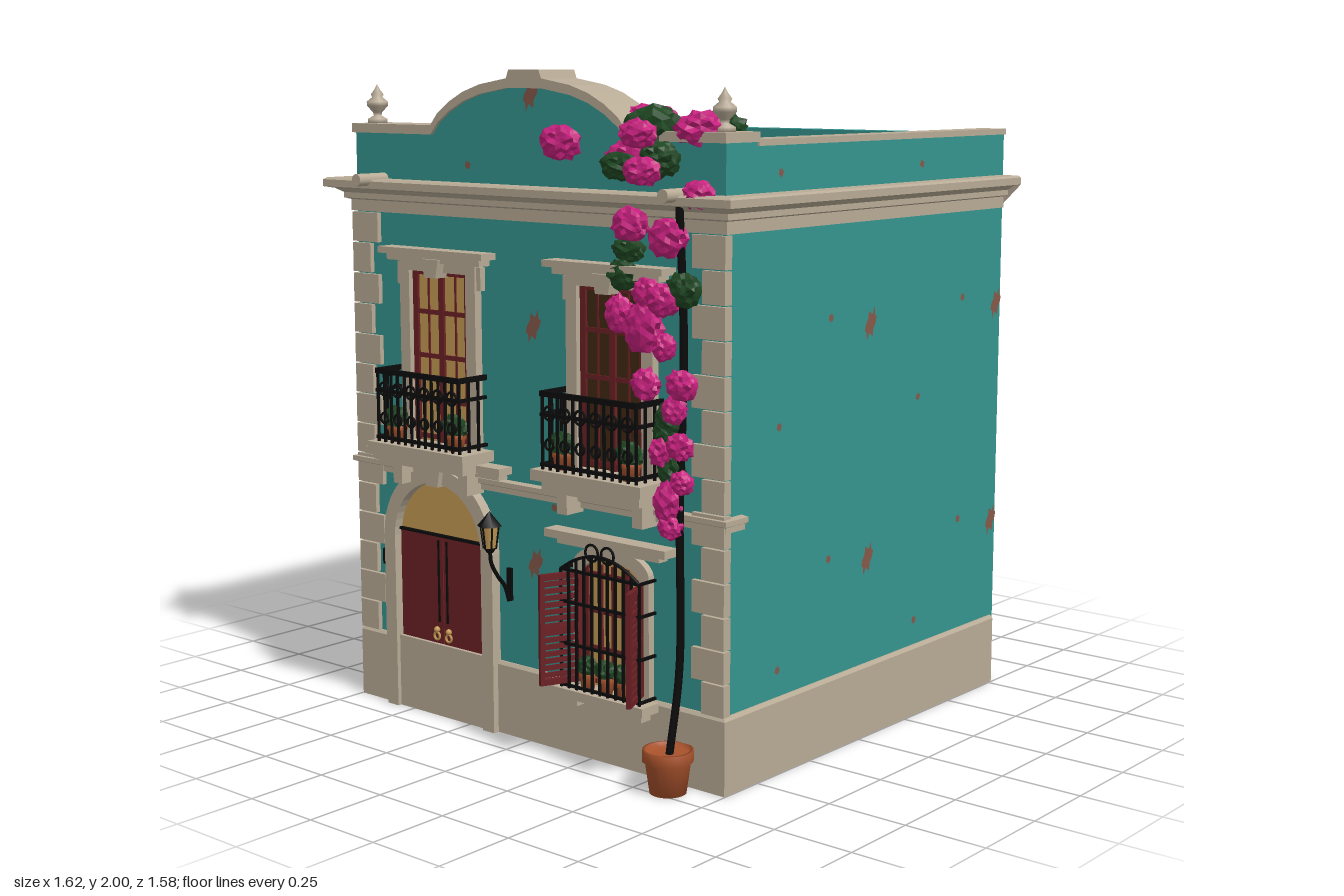
import * as THREE from 'three';

const mat = (name, color, o = {}) => Object.assign(new THREE.MeshStandardMaterial({ color, ...o }), { name });

export function createModel() {
  const root = new THREE.Group();
  root.name = 'townHouse';
  const D = { side: THREE.DoubleSide }, F = { flatShading: true };
  const teal = mat('tealPlaster', 0x35958f), stone = mat('stone', 0xb8ab96), red = mat('maroonWood', 0x6b2024),
    amber = mat('amberGlass', 0xc49a54, D), dark = mat('darkGlass', 0x3f2812), iron = mat('blackIron', 0x0b0b0c),
    clay = mat('terracotta', 0xa8522c, D), pink = mat('magentaBlossom', 0xc8217f, F),
    leaf = mat('darkLeaf', 0x1f4722, F), worn = mat('exposedBrick', 0x86584a, D);
  const ZF = 0.635, ZB = -0.785, HX = 0.735;

  // Helpers
  const add = (name, geo, m, parent = root, x = 0, y = 0, z = 0) => {
    const o = new THREE.Mesh(geo, m);
    o.name = name;
    o.position.set(x, y, z);
    parent.add(o);
    return o;
  };
  const box = (name, m, x0, x1, y0, y1, z0, z1, parent = root) =>
    add(name, new THREE.BoxGeometry(x1 - x0, y1 - y0, z1 - z0), m, parent, (x0 + x1) / 2, (y0 + y1) / 2, (z0 + z1) / 2);
  const group = (name, x = 0, y = 0, z = 0) => {
    const g = new THREE.Group();
    g.name = name;
    g.position.set(x, y, z);
    root.add(g);
    return g;
  };
  const v = (x, y, z) => new THREE.Vector3(x, y, z);
  const tube = (name, pts, r, m, parent, n = 24) =>
    add(name, new THREE.TubeGeometry(new THREE.CatmullRomCurve3(pts.map(p => v(...p))), n, r, 6), m, parent);
  const ring = (parent, r, x, y, z) => add('ironRing', new THREE.TorusGeometry(r, 0.004, 6, 18), iron, parent, x, y, z);
  const lathe = (name, pts, m, parent, x, y, z) =>
    add(name, new THREE.LatheGeometry(pts.map(p => new THREE.Vector2(...p)), 18), m, parent, x, y, z);
  const extrude = (name, shape, m, z0, z1, parent = root, x = 0) =>
    add(name, new THREE.ExtrudeGeometry(shape, { depth: z1 - z0, bevelEnabled: false, curveSegments: 24 }), m, parent, x, 0, z0);
  const archPoints = (hw, y0, spring, ry) => {
    const p = [[-hw, y0]];
    for (let i = 0; i <= 24; i++) {
      const a = Math.PI * (1 - i / 24);
      p.push([hw * Math.cos(a), spring + ry * Math.sin(a)]);
    }
    return [...p, [hw, y0]];
  };
  const poly = p => new THREE.Shape(p.map(q => new THREE.Vector2(...q)));

  // Moulding swept round the sides and front; profile is [projection, y]
  const moulding = (name, profile, m, zBack) => {
    const pos = [], P = (k, [d, y]) => [(k < 2 ? 1 : -1) * (HX + d), y, k === 0 || k === 3 ? zBack : ZF + d];
    for (let j = 0; j < profile.length - 1; j++) {
      for (let k = 0; k < 3; k++) {
        const a = P(k, profile[j]), b = P(k, profile[j + 1]), c = P(k + 1, profile[j + 1]), d = P(k + 1, profile[j]);
        pos.push(...a, ...b, ...c, ...a, ...c, ...d);
      }
      pos.push(...P(0, profile[0]), ...P(0, profile[j + 1]), ...P(0, profile[j]));
      pos.push(...P(3, profile[0]), ...P(3, profile[j]), ...P(3, profile[j + 1]));
    }
    const g = new THREE.BufferGeometry();
    g.setAttribute('position', new THREE.Float32BufferAttribute(pos, 3));
    g.computeVertexNormals();
    return add(name, g, m);
  };

  // Body, roof deck and parapets
  box('walls', teal, -HX, HX, 0, 1.62, ZB, ZF);
  box('roofDeck', stone, -0.65, 0.65, 1.62, 1.626, -0.715, 0.47);
  box('backParapet', teal, -HX, HX, 1.62, 1.8, ZB, -0.715);
  for (const s of [-1, 1]) {
    box('sideParapet', teal, s < 0 ? -HX : 0.65, s < 0 ? -0.65 : HX, 1.62, 1.796, -0.715, 0.47);
    box('sideCoping', stone, s < 0 ? -0.742 : 0.65, s < 0 ? -0.65 : 0.742, 1.796, 1.814, ZB, 0.5);
  }
  const crest = [[-0.742, 1.835], [-0.39, 1.835], [-0.36, 1.87], [-0.31, 1.905], [-0.25, 1.935], [-0.18, 1.957], [-0.07, 1.975], [-0.06, 2]];
  const top = [...crest, ...crest.map(([x, y]) => [-x, y]).reverse()];
  const under = top.map(([x, y]) => [x, Math.min(y, 1.975) - 0.028]);
  extrude('frontParapet', poly([[-HX, 1.62], ...under.map(([x, y]) => [THREE.MathUtils.clamp(x, -HX, HX), y]), [HX, 1.62]]), teal, 0.47, ZF);
  extrude('frontCoping', poly([...top, ...[...under].reverse()]), stone, 0.496, 0.646);

  // Plinth, string course and main cornice
  moulding('plinth', [[0, 0], [0.013, 0], [0.013, 0.215], [0.005, 0.225], [0, 0.225]], stone, -0.768);
  moulding('stringCourse', [[0, 0.748], [0.012, 0.748], [0.012, 0.765], [0.024, 0.77], [0.024, 0.785], [0, 0.788]], stone, 0.56);
  moulding('cornice', [[0, 1.565], [0.014, 1.565], [0.014, 1.6], [0.03, 1.605], [0.03, 1.622], [0.05, 1.635], [0.075, 1.64], [0.075, 1.662], [0.065, 1.668], [0, 1.668]], stone, -0.77);

  for (const s of [-1, 1]) {
    // Corner quoins, alternately long and short
    for (let i = 0; i < 14; i++) {
      const a = 0.745, b = i % 2 ? 0.63 : 0.665, y = 0.226 + i * 0.0957;
      box('quoin', stone, s < 0 ? -a : b, s < 0 ? -b : a, y, y + 0.091, 0.62, 0.65);
    }
    // Urn finials and roof spouts
    lathe('finial', [[0, 0], [0.03, 0], [0.03, 0.015], [0.012, 0.025], [0.014, 0.035], [0.032, 0.055], [0.033, 0.068], [0.016, 0.082], [0.02, 0.09], [0.009, 0.105], [0, 0.122]], stone, root, s * 0.69, 1.833, 0.585);
    add('roofSpout', new THREE.CylinderGeometry(0.019, 0.019, 0.3, 14).rotateX(Math.PI / 2), stone, root, s * 0.61, 1.667, 0.6);
  }

  // Arched entrance
  const door = group('entrance', -0.37);
  extrude('doorSurround', poly([...archPoints(0.238, 0, 0.555, 0.238), ...archPoints(0.19, 0, 0.555, 0.19).reverse()]), stone, 0.62, 0.668, door);
  box('doorStep', stone, -0.19, 0.19, 0, 0.23, 0.62, 0.655, door);
  add('fanlight', new THREE.ShapeGeometry(poly(archPoints(0.19, 0.55, 0.555, 0.19))), amber, door, 0, 0, 0.638);
  box('doorLintel', iron, -0.19, 0.19, 0.572, 0.58, 0.63, 0.65, door);
  for (const s of [-1, 1]) {
    box('doorLeaf', red, s < 0 ? -0.188 : 0.002, s < 0 ? -0.002 : 0.188, 0.23, 0.574, 0.63, 0.643, door);
    box('doorPull', iron, s * 0.018 - 0.003, s * 0.018 + 0.003, 0.3, 0.56, 0.643, 0.647, door);
    add('doorKnocker', new THREE.TorusGeometry(0.012, 0.004, 6, 14), amber, door, s * 0.026, 0.255, 0.649);
    add('doorKnob', new THREE.SphereGeometry(0.01, 10, 8), amber, door, s * 0.026, 0.275, 0.649);
  }
  const keystone = (parent, y0, y1, z1) => extrude('keystone', poly([[-0.024, y0], [0.024, y0], [0.036, y1], [-0.036, y1]]), stone, 0.62, z1, parent);
  keystone(door, 0.738, 0.8, 0.685);
  box('doorHood', stone, -0.275, 0.275, 0.79, 0.808, 0.62, 0.672, door);
  box('doorHoodTop', stone, -0.295, 0.295, 0.808, 0.83, 0.62, 0.69, door);
  box('doorbellBox', iron, -0.632, -0.612, 0.45, 0.5, 0.63, 0.655);

  // Lumpy foliage clump
  const clump = (m, x, y, z, rx, ry, rz, parent = root) => {
    const g = new THREE.IcosahedronGeometry(1, 3), p = g.attributes.position, q = new THREE.Vector3();
    for (let i = 0; i < p.count; i++) {
      q.fromBufferAttribute(p, i);
      const n = Math.sin(q.x * 7 + x * 40) * Math.sin(q.y * 8 + y * 50) * Math.sin(q.z * 7 + 1 + x * 30);
      q.multiplyScalar(0.97 + 0.2 * n + 0.07 * Math.sin(q.x * 23 + q.y * 31 + q.z * 27));
      p.setXYZ(i, q.x * rx, q.y * ry, q.z * rz);
    }
    g.computeVertexNormals();
    return add(m === pink ? 'blossoms' : 'leaves', g, m, parent, x, y, z);
  };
  const plantPot = (parent, x, y, z, r, h) => lathe('flowerPot',
    [[0, 0], [r * 0.72, 0], [r * 0.9, h * 0.74], [r, h * 0.74], [r, h], [r * 0.88, h], [r * 0.85, h * 0.88], [0, h * 0.88]], clay, parent, x, y, z);

  // Upper French windows with balconies
  for (const [cx, glass] of [[-0.357, amber], [0.336, dark]]) {
    const w = group('balconyWindow', cx);
    box('windowGlass', glass, -0.122, 0.122, 0.87, 1.4, 0.63, 0.638, w);
    for (const x of [-0.112, 0, 0.112]) box('casementStile', red, x - 0.011, x + 0.011, 0.87, 1.4, 0.63, 0.646, w);
    for (const x of [-0.058, 0.058]) box('glazingBar', red, x - 0.003, x + 0.003, 0.87, 1.4, 0.63, 0.642, w);
    for (const y of [0.885, 1, 1.135, 1.27, 1.39]) box('casementRail', red, -0.12, 0.12, y - 0.007, y + 0.007, 0.63, 0.644, w);
    for (const s of [-1, 1]) {
      box('windowJamb', stone, s < 0 ? -0.163 : 0.122, s < 0 ? -0.122 : 0.163, 0.87, 1.4, 0.62, 0.662, w);
      box('windowEar', stone, s < 0 ? -0.18 : 0.15, s < 0 ? -0.15 : 0.18, 1.35, 1.42, 0.62, 0.655, w);
      box('balconyBracket', stone, s * 0.143 - 0.019, s * 0.143 + 0.019, 0.735, 0.81, 0.62, 0.705, w);
      // Balcony plants
      const px = s * 0.128;
      plantPot(w, px, 0.872, 0.715, 0.032, 0.05);
      clump(leaf, px, 0.945, 0.72, 0.046, 0.038, 0.03, w);
    }
    box('windowHead', stone, -0.163, 0.163, 1.395, 1.425, 0.62, 0.662, w);
    box('windowHood', stone, -0.2, 0.2, 1.425, 1.445, 0.62, 0.68, w);
    box('windowHoodTop', stone, -0.225, 0.225, 1.445, 1.465, 0.62, 0.695, w);
    keystone(w, 1.38, 1.436, 0.69);
    box('balconySlab', stone, -0.208, 0.208, 0.838, 0.87, 0.62, 0.768, w);
    box('balconySlabBase', stone, -0.185, 0.185, 0.805, 0.838, 0.62, 0.745, w);
    // Iron railing
    for (const y of [0.885, 1.03, 1.09]) {
      const t = y > 1.05 ? 0.008 : 0.005;
      box('frontRail', iron, -0.182, 0.182, y - t, y + t, 0.742, 0.754, w);
      for (const s of [-1, 1]) box('sideRail', iron, s * 0.177 - 0.005, s * 0.177 + 0.005, y - t, y + t, ZF, 0.75, w);
    }
    for (let i = 0; i <= 12; i++) {
      const x = -0.177 + i * 0.0295;
      box('baluster', iron, x - 0.0035, x + 0.0035, 0.87, 1.09, 0.744, 0.751, w);
      if (i % 2) ring(w, 0.02, x, 1.035, 0.75), ring(w, 0.016, x, 0.945, 0.75);
    }
    for (const s of [-1, 1]) for (const z of [0.665, 0.705]) box('sideBaluster', iron, s * 0.177 - 0.0035, s * 0.177 + 0.0035, 0.87, 1.09, z, z + 0.007, w);
  }

  // Lower window with grille and louvred shutters
  const low = group('grilleWindow', 0.336);
  extrude('windowSurround', poly([...archPoints(0.145, 0.22, 0.58, 0.07), ...archPoints(0.112, 0.22, 0.555, 0.055).reverse()]), stone, 0.62, 0.658, low);
  add('lowerGlass', new THREE.ShapeGeometry(poly(archPoints(0.115, 0.22, 0.555, 0.06))), amber, low, 0, 0, 0.639);
  for (const x of [-0.104, -0.05, 0, 0.05, 0.104]) box('lowerMullion', red, x - 0.007, x + 0.007, 0.225, 0.59, 0.632, 0.646, low);
  for (const y of [0.24, 0.34, 0.45, 0.56]) box('lowerRail', red, -0.112, 0.112, y - 0.006, y + 0.006, 0.632, 0.645, low);
  box('lowerHood', stone, -0.195, 0.195, 0.638, 0.656, 0.62, 0.672, low);
  box('lowerHoodTop', stone, -0.23, 0.23, 0.656, 0.68, 0.62, 0.69, low);
  box('sill', stone, -0.172, 0.172, 0.195, 0.222, 0.62, 0.72, low);
  const gt = x => 0.575 + 0.055 * (1 - (x / 0.15) ** 2);
  for (let i = 0; i <= 10; i++) {
    const x = -0.15 + i * 0.03;
    box('grilleBar', iron, x - 0.0035, x + 0.0035, 0.22, gt(x), 0.701, 0.708, low);
  }
  for (const y of [0.23, 0.355, 0.48, 0.575]) {
    box('grilleRail', iron, -0.152, 0.152, y - 0.004, y + 0.004, 0.7, 0.708, low);
    for (const s of [-1, 1]) box('grilleReturn', iron, s * 0.15 - 0.004, s * 0.15 + 0.004, y - 0.004, y + 0.004, ZF, 0.705, low);
  }
  tube('grilleArch', [-0.15, -0.1, -0.05, 0, 0.05, 0.1, 0.15].map(x => [x, gt(x), 0.704]), 0.005, iron, low);
  for (const s of [-1, 1]) {
    ring(low, 0.024, s * 0.03, 0.638, 0.704);
    box('sillFoot', stone, s * 0.123 - 0.02, s * 0.123 + 0.02, 0.167, 0.195, 0.62, 0.69, low);
    const sh = new THREE.Group();
    sh.name = 'shutter';
    sh.position.set(s * 0.115, 0.235, 0.65);
    sh.rotation.y = Math.atan2(-0.915, s * 0.4);
    low.add(sh);
    for (const x of [0, 0.122]) box('shutterStile', red, x, x + 0.015, 0, 0.33, -0.007, 0.007, sh);
    for (const y of [0, 0.158, 0.312]) box('shutterRail', red, 0, 0.137, y, y + 0.018, -0.007, 0.007, sh);
    for (let i = 0; i < 14; i++) box('louvre', red, 0.012, 0.125, 0.022 + i * 0.0208, 0.037 + i * 0.0208, -0.003, 0.003, sh);
  }
  for (const x of [-0.07, 0, 0.07]) {
    plantPot(low, x, 0.222, 0.678, 0.026, 0.05);
    clump(leaf, x, 0.292, 0.68, 0.034, 0.032, 0.025, low);
  }

  // Wall lantern
  const lamp = group('lantern', -0.085, 0, 0.722);
  add('lanternGlass', new THREE.CylinderGeometry(0.027, 0.018, 0.07, 6), amber, lamp, 0, 0.63, 0);
  add('lanternRoof', new THREE.ConeGeometry(0.038, 0.045, 6), iron, lamp, 0, 0.686, 0);
  add('lanternBase', new THREE.CylinderGeometry(0.02, 0.01, 0.015, 6), iron, lamp, 0, 0.59, 0);
  for (let i = 0; i < 6; i++) {
    const a = i * Math.PI / 3, c = Math.sin(a), d = Math.cos(a);
    tube('lanternBar', [[c * 0.019, 0.595, d * 0.019], [c * 0.028, 0.665, d * 0.028]], 0.003, iron, lamp, 1);
  }
  tube('lanternArm', [[0, 0.59, 0], [0, 0.55, -0.005], [0, 0.5, -0.035], [0, 0.47, -0.06], [0, 0.42, -0.078]], 0.006, iron, lamp);
  box('lanternPlate', iron, -0.009, 0.009, 0.42, 0.52, -0.088, -0.078, lamp);

  // Side window on the right wall
  const side = group('sideWindow', -HX, 1.16, -0.165);
  box('sideGlass', iron, -0.005, 0.01, -0.125, 0.125, -0.085, 0.085, side);
  for (const s of [-1, 1]) {
    box('sideJamb', stone, -0.02, 0.01, -0.14, 0.14, s * 0.095 - 0.013, s * 0.095 + 0.013, side);
    box('sideHead', stone, -0.02, 0.01, s * 0.128 - 0.013, s * 0.128 + 0.013, -0.1, 0.1, side);
  }

  // Climbing plant: pot, stem and clumps [x, y, z, rx, ry, rz]
  plantPot(root, 0.6, 0, 0.715, 0.073, 0.125);
  tube('stem', [[0.6, 0.1, 0.71], [0.608, 0.35, 0.675], [0.605, 0.8, 0.67], [0.617, 1.25, 0.668], [0.61, 1.66, 0.68]], 0.012, iron, root, 40);
  [[0.2, 1.8, 0.71, 0.07, 0.05, 0.04], [0.37, 1.87, 0.52, 0.085, 0.035, 0.06], [0.42, 1.76, 0.66, 0.08, 0.05, 0.05], [0.62, 1.84, 0.6, 0.08, 0.05, 0.065],
    [0.51, 1.73, 0.72, 0.06, 0.04, 0.04], [0.67, 1.67, 0.67, 0.045, 0.04, 0.04], [0.48, 1.83, 0.7, 0.06, 0.04, 0.04],
    [0.43, 1.58, 0.675, 0.06, 0.05, 0.035], [0.57, 1.55, 0.68, 0.065, 0.055, 0.035], [0.5, 1.39, 0.68, 0.05, 0.05, 0.035], [0.56, 1.38, 0.69, 0.06, 0.045, 0.035],
    [0.39, 1.33, 0.675, 0.045, 0.055, 0.035], [0.49, 1.3, 0.69, 0.065, 0.07, 0.035], [0.55, 1.25, 0.675, 0.04, 0.04, 0.03], [0.49, 1.14, 0.68, 0.045, 0.045, 0.035],
    [0.62, 1.15, 0.68, 0.05, 0.045, 0.035], [0.6, 1.08, 0.69, 0.04, 0.04, 0.03], [0.55, 0.96, 0.68, 0.04, 0.045, 0.035], [0.61, 0.98, 0.68, 0.045, 0.04, 0.03],
    [0.57, 0.82, 0.68, 0.045, 0.06, 0.035], [0.62, 0.88, 0.68, 0.035, 0.035, 0.03], [0.58, 0.75, 0.68, 0.04, 0.035, 0.03]].forEach(c => clump(pink, ...c));
  [[0.45, 1.83, 0.6, 0.1, 0.075, 0.075], [0.6, 1.84, 0.49, 0.08, 0.045, 0.055], [0.42, 1.74, 0.7, 0.07, 0.04, 0.04], [0.52, 1.76, 0.65, 0.06, 0.05, 0.06],
    [0.42, 1.51, 0.67, 0.055, 0.035, 0.03], [0.4, 1.44, 0.67, 0.055, 0.045, 0.03], [0.62, 1.41, 0.67, 0.055, 0.05, 0.035], [0.57, 1.05, 0.67, 0.05, 0.05, 0.03],
    [0.56, 1.01, 0.67, 0.045, 0.045, 0.03], [0.57, 0.91, 0.665, 0.045, 0.05, 0.03]].forEach(c => clump(leaf, ...c));

  // Worn plaster patches
  const patch = (x, y, z, turn, big) => {
    const pts = [];
    for (let i = 0; i < 14; i++) {
      const a = i / 14 * Math.PI * 2, r = 1 + 0.3 * Math.sin(i * 2.7);
      pts.push(big ? [0.025 * r * Math.cos(a) + 0.012 * Math.sin(a), 0.04 * r * Math.sin(a)] : [0.011 * r * Math.cos(a), 0.012 * r * Math.sin(a)]);
    }
    add('wornPatch', new THREE.ShapeGeometry(poly(pts)), worn, root, x, y, z).rotation.y = turn;
  };
  for (const y of [1.26, 0.55]) {
    patch(0.022, y, ZF + 0.003, 0, true);
    for (const s of [-1, 1]) for (const z of [-0.05, -0.755]) patch(s * (HX + 0.003), y, z, s * Math.PI / 2, true);
    for (const x of [0.03, -0.69]) patch(x, y, ZB - 0.003, Math.PI, true);
  }
  patch(0.02, 1.93, ZF + 0.003, 0, true);
  for (const [x, y] of [[-0.24, 1.72], [0.1, 0.73]]) patch(x, y, ZF + 0.003, 0, false);
  for (const [u, y] of [[0.395, 1.72], [-0.31, 1.72], [0.15, 1.295], [-0.555, 1.295], [0.395, 1.01], [-0.31, 1.01], [0.15, 0.585], [-0.555, 0.585], [0.395, 0.305], [-0.31, 0.305]]) {
    for (const s of [-1, 1]) patch(s * (HX + 0.003), y, u, s * Math.PI / 2, false);
    patch(u + 0.08, y, ZB - 0.003, Math.PI, false);
  }
  return root;
}
